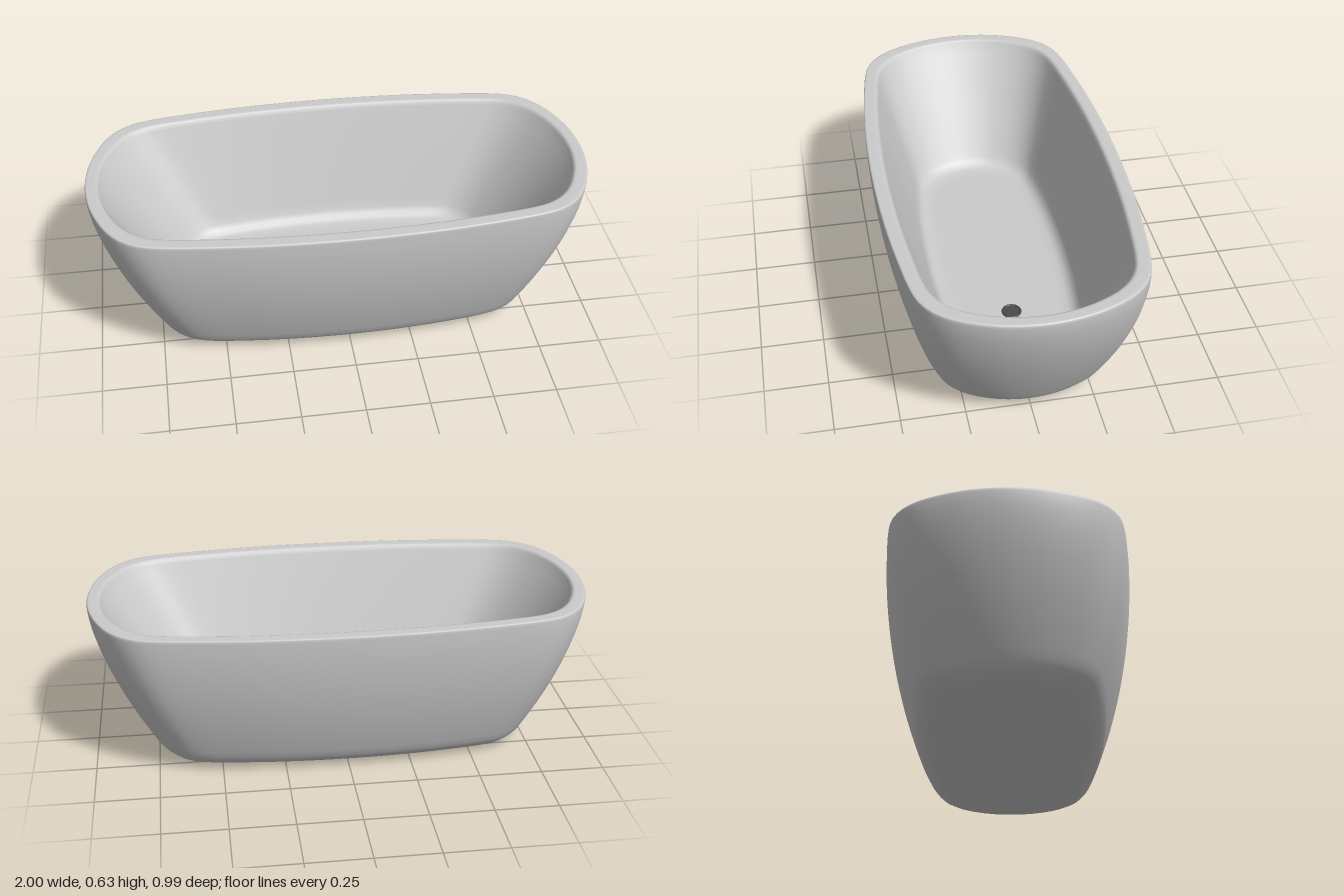
import * as THREE from 'three';

const SEGMENTS = 128;
const HEIGHT = 0.63;
const FLOOR = 0.14;
const DRAIN_X = 0.377;

// Rounded, slightly bowed outline with half-length 1 and half-width 1, mirrored from one quarter
function makeOutline() {
  const quarter = [[0, 1], [0.2, 0.992], [0.4, 0.968], [0.6, 0.925], [0.72, 0.89],
    [0.8, 0.848], [0.865, 0.765], [0.915, 0.645], [0.953, 0.49], [0.981, 0.32], [0.995, 0.16], [1, 0]];
  const half = [...quarter, ...quarter.slice(0, -1).reverse().map(([x, z]) => [x, -z])];
  const loop = [...half, ...half.slice(1, -1).reverse().map(([x, z]) => [-x, z])];
  const curve = new THREE.CatmullRomCurve3(
    loop.map(([x, z]) => new THREE.Vector3(x, 0, z * 0.5)), true);
  return curve.getSpacedPoints(SEGMENTS).slice(0, SEGMENTS).map(p => [p.x, p.z * 2]);
}

// Cross-sections are [half-length, height, half-width]
function run(steps, section) {
  return Array.from({ length: steps + 1 }, (_, i) => section(i / steps));
}

// Skin the outline through a series of cross-sections
function loft(outline, sections) {
  const positions = [], index = [];
  const n = outline.length;
  for (const [hx, y, hz] of sections)
    for (const [x, z] of outline) positions.push(x * hx, y, z * hz);
  for (let j = 0; j < sections.length - 1; j++) {
    for (let i = 0; i < n; i++) {
      const a = j * n + i, b = j * n + (i + 1) % n;
      const c = a + n, d = b + n;
      index.push(a, b, c, b, d, c);
    }
  }
  const geometry = new THREE.BufferGeometry();
  geometry.setAttribute('position', new THREE.Float32BufferAttribute(positions, 3));
  geometry.setIndex(index);
  geometry.computeVertexNormals();
  return geometry;
}

export function createModel() {
  const group = new THREE.Group();
  group.name = 'bathtub';
  const grey = new THREE.MeshStandardMaterial({ color: 0xcccccc });
  const dark = new THREE.MeshStandardMaterial({ color: 0x4a4a4a });

  const add = (name, geometry, material, x = 0, y = 0, z = 0) => {
    const mesh = new THREE.Mesh(geometry, material);
    mesh.name = name;
    mesh.position.set(x, y, z);
    group.add(mesh);
    return mesh;
  };

  // Flat underside and rounded foot
  const underside = [[0, 0, 0], [0.66, 0, 0.265], [0.69, 0.002, 0.285],
    [0.717, 0.008, 0.312], [0.75, 0.027, 0.345], [0.77, 0.048, 0.366]];

  // Outer wall flaring up to near vertical at the rim
  const outerWall = run(18, t => [
    1 - 0.217 * (1 - t) ** 1.45, 0.066 + 0.55 * t, 0.495 - 0.115 * (1 - t) ** 1.9]);

  // Flat rim with softened edges
  const rim = [[0.999, 0.625, 0.495], [0.997, 0.629, 0.493], [0.992, HEIGHT, 0.488], [0.987, HEIGHT, 0.483],
    [0.966, HEIGHT, 0.456], [0.958, HEIGHT, 0.448], [0.951, 0.628, 0.441], [0.945, 0.62, 0.435]];

  // Straight sloping basin wall, tight fillet and flat floor
  const innerWall = run(12, t => [
    0.94 - 0.28 * t, 0.608 - (0.566 - FLOOR) * t, 0.431 - 0.138 * t]);
  const floor = [[0.647, FLOOR + 0.024, 0.282], [0.63, FLOOR + 0.01, 0.268], [0.61, FLOOR + 0.003, 0.25],
    [0.58, FLOOR, 0.225], [0.55, FLOOR, 0.2], [0, FLOOR, 0]];

  add('tub', loft(makeOutline(), [...underside, ...outerWall, ...rim, ...innerWall, ...floor]), grey);

  // Drain: dark disc with a thin raised ring
  add('drain', new THREE.CylinderGeometry(0.038, 0.038, 0.006, 32), dark, DRAIN_X, FLOOR + 0.001, 0);
  const ring = add('drainRing', new THREE.TorusGeometry(0.036, 0.004, 8, 32), dark, DRAIN_X, FLOOR + 0.003, 0);
  ring.rotation.x = Math.PI / 2;

  return group;
}
